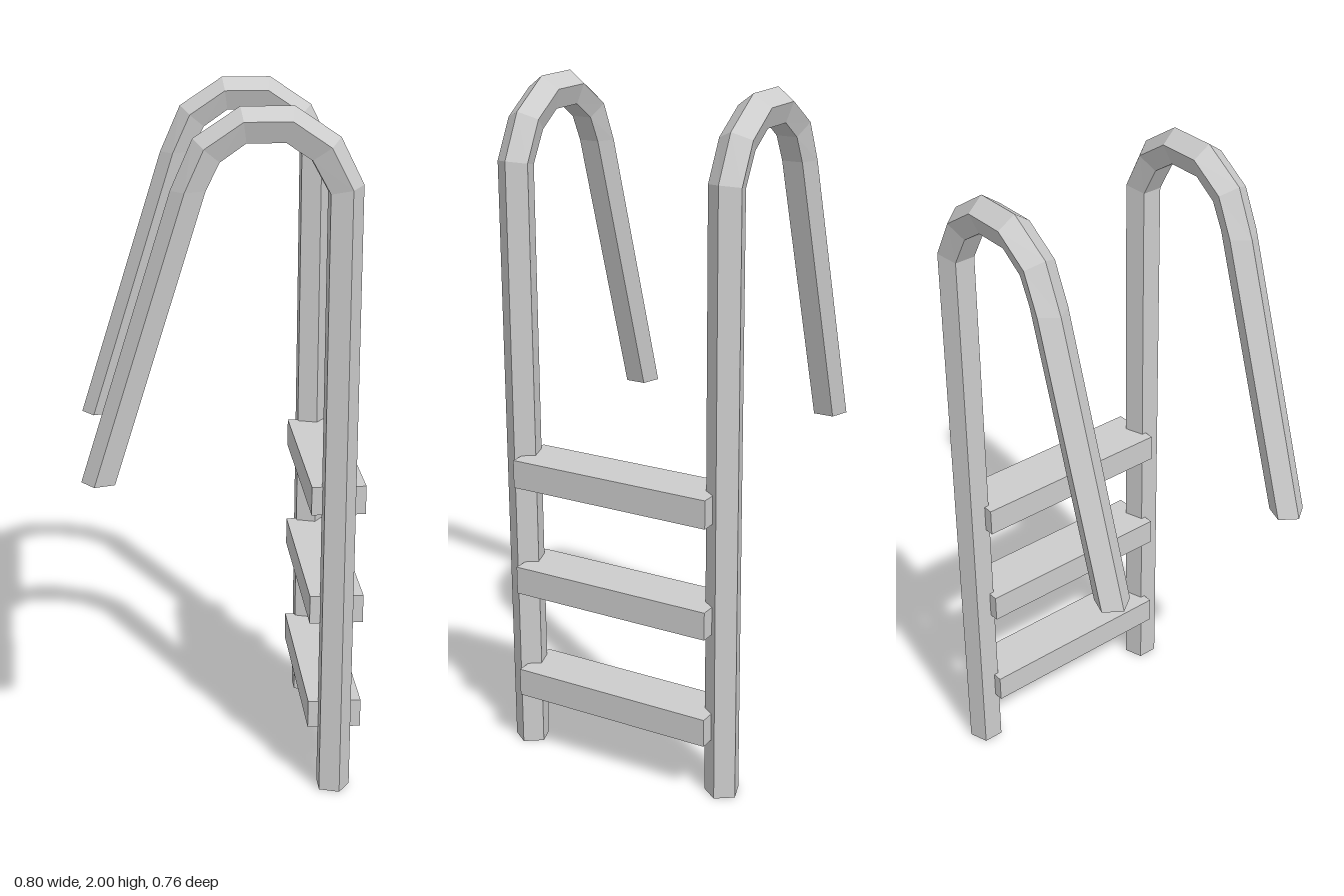
import * as THREE from 'three';

// Rail outline in x/y: [outer x, outer y, inner x, inner y], from foot over the arch to the grip end
const STATIONS = [
  [0.368, 0, 0.275, 0],
  [0.368, 1.79, 0.275, 1.77],
  [0.304, 1.917, 0.225, 1.86],
  [0.18, 2, 0.155, 1.907],
  [0.036, 2, 0.05, 1.907],
  [-0.09, 1.917, -0.02, 1.858],
  [-0.15, 1.78, -0.057, 1.783],
  [-0.402, 0.97, -0.309, 0.97],
];
// Pentagon section: [fraction from outer ridge to inner face, z offset]
const SECTION = [[0, 0], [0.382, 0.05], [1, 0.031], [1, -0.031], [0.382, -0.05]];

// Five-sided bar swept through the stations, closed at both ends
function railGeometry() {
  const n = SECTION.length;
  const last = (STATIONS.length - 1) * n;
  const positions = [];
  const index = [];
  for (const [ox, oy, ix, iy] of STATIONS) {
    for (const [t, z] of SECTION) positions.push(ox + (ix - ox) * t, oy + (iy - oy) * t, z);
  }
  for (let s = 0; s < last; s += n) {
    for (let k = 0; k < n; k++) {
      const a = s + k;
      const b = s + (k + 1) % n;
      index.push(a, a + n, b + n, a, b + n, b);
    }
  }
  for (let k = 1; k < n - 1; k++) {
    index.push(0, k, k + 1, last, last + k + 1, last + k);
  }
  const indexed = new THREE.BufferGeometry();
  indexed.setAttribute('position', new THREE.Float32BufferAttribute(positions, 3));
  indexed.setIndex(index);
  const flat = indexed.toNonIndexed();
  flat.computeVertexNormals();
  return flat;
}

// Hollow step: a box without its underside
function stepGeometry() {
  const box = new THREE.BoxGeometry(0.155, 0.084, 0.63);
  const faces = Array.from(box.index.array);
  faces.splice(18, 6);
  box.setIndex(faces);
  box.clearGroups();
  return box;
}

export function createModel() {
  const group = new THREE.Group();
  const metal = new THREE.MeshStandardMaterial({ color: 0xcccccc });
  metal.name = 'light grey metal';
  metal.flatShading = true;
  metal.side = THREE.DoubleSide;

  // Two matching handrails
  const rail = railGeometry();
  for (const side of [1, -1]) {
    const mesh = new THREE.Mesh(rail, metal);
    mesh.name = side > 0 ? 'frontRail' : 'backRail';
    mesh.position.z = side * 0.332;
    group.add(mesh);
  }

  // Three steps between the rails
  const step = stepGeometry();
  for (let i = 0; i < 3; i++) {
    const mesh = new THREE.Mesh(step, metal);
    mesh.name = `step${i + 1}`;
    mesh.position.set(0.322, 0.222 + i * 0.334, 0);
    group.add(mesh);
  }
  return group;
}
